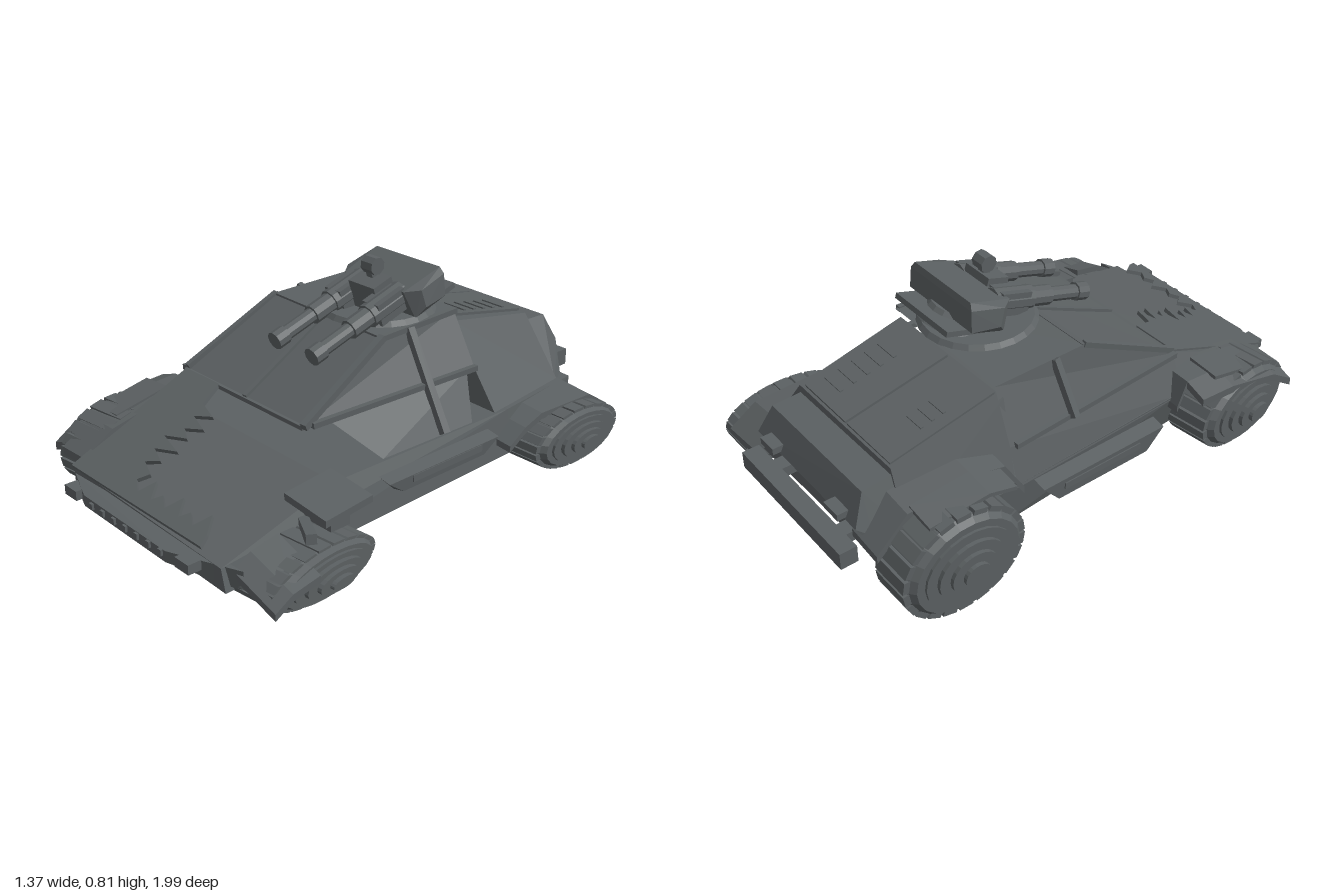
import * as THREE from 'three';
import { ConvexGeometry } from 'three/addons/geometries/ConvexGeometry.js';

const armour = new THREE.MeshStandardMaterial({ color: 0x5b6062 });
armour.name = 'armourGrey';

// Faceted normals on any geometry
function flat(g) {
  const f = g.index ? g.toNonIndexed() : g;
  f.computeVertexNormals();
  return f;
}

export function createModel() {
  const root = new THREE.Group();
  root.name = 'armouredBuggy';

  const add = (name, geo, parent = root) => {
    const m = new THREE.Mesh(flat(geo), armour);
    m.name = name;
    parent.add(m);
    return m;
  };
  // Solid block wrapped around a few corner points
  const hull = (name, pts, parent) =>
    add(name, new ConvexGeometry(pts.map(p => new THREE.Vector3(...p))), parent);
  const box = (name, w, h, d, x, y, z, parent) => {
    const m = add(name, new THREE.BoxGeometry(w, h, d), parent);
    m.position.set(x, y, z);
    return m;
  };
  // One-sided convex panel, corners counter-clockwise seen from outside
  const panel = (name, pts) => {
    const v = [];
    for (let i = 1; i < pts.length - 1; i++) v.push(...pts[0], ...pts[i], ...pts[i + 1]);
    const g = new THREE.BufferGeometry();
    g.setAttribute('position', new THREE.Float32BufferAttribute(v, 3));
    return add(name, g);
  };
  // Square bar between two points
  const bar = (name, a, b, t) => {
    const A = new THREE.Vector3(...a), B = new THREE.Vector3(...b);
    const m = box(name, t, t, A.distanceTo(B), 0, 0, 0);
    m.position.copy(A).lerp(B, 0.5);
    m.lookAt(B);
    return m;
  };

  // Lower tub
  hull('lowerTub', [
    [-0.38, 0.10, 0.92], [0.46, 0.07, 0.92], [-0.38, 0.18, 0.92], [0.44, 0.15, 0.92],
    [-0.40, 0.09, 0.42], [0.43, 0.06, 0.42], [-0.46, 0.26, 0.42], [0.40, 0.25, 0.42],
    [-0.47, 0.10, -0.42], [0.43, 0.08, -0.42], [-0.49, 0.26, -0.42], [0.41, 0.25, -0.42],
    [-0.44, 0.16, -0.86], [0.34, 0.13, -0.86], [-0.44, 0.27, -0.86], [0.34, 0.23, -0.86]]);

  // Torn hood: ragged sheet over the open front, closed on its right side
  const sheet = new THREE.Shape();
  sheet.moveTo(-0.37, 0);
  sheet.lineTo(0.36, 0);
  for (let i = 0; i < 6; i++) {
    sheet.lineTo(0.34 - i * 0.075, 0.045);
    sheet.lineTo(0.29 - i * 0.075, 0.11 - (i % 2) * 0.03);
  }
  for (let i = 0; i < 6; i++) {
    sheet.lineTo(-0.06 - (i % 2) * 0.02, 0.12 + i * 0.06);
    sheet.lineTo(-0.13 - (i % 3) * 0.02, 0.15 + i * 0.06);
  }
  sheet.lineTo(-0.2, 0.55);
  sheet.lineTo(-0.39, 0.55);
  const torn = add('tornHood', new THREE.ExtrudeGeometry(sheet, { depth: 0.015, bevelEnabled: false }));
  torn.position.set(0, 0.185, 0.93);
  torn.rotation.x = -1.185;
  panel('hoodRightSide', [[-0.39, 0.40, 0.42], [-0.46, 0.25, 0.42], [-0.38, 0.17, 0.92], [-0.37, 0.2, 0.92]]);
  const vent = box('hoodVent', 0.04, 0.08, 0.015, -0.31, 0.353, 0.53);
  vent.rotation.x = -1.185;

  // Cabin: roof, screen, closed side and the open, broken side
  panel('roof', [[-0.37, 0.6, 0.02], [0.2, 0.59, 0.02], [0.2, 0.6, -0.36], [-0.37, 0.6, -0.36]]);
  panel('windscreen', [[-0.40, 0.40, 0.42], [0.25, 0.395, 0.42], [0.2, 0.59, 0.02], [-0.37, 0.6, 0.02]]);
  panel('rightWindowBand', [[-0.37, 0.6, -0.36], [-0.45, 0.4, -0.36], [-0.40, 0.4, 0.42], [-0.37, 0.6, 0.02]]);
  panel('rightDoor', [[-0.45, 0.4, -0.36], [-0.49, 0.25, -0.36], [-0.46, 0.25, 0.42], [-0.40, 0.4, 0.42]]);
  panel('leftWindowBand', [[0.25, 0.395, 0.42], [0.31, 0.41, -0.34], [0.2, 0.6, -0.34], [0.2, 0.59, 0.02]]);
  panel('leftDoor', [[0.39, 0.25, 0.19], [0.40, 0.25, -0.24], [0.31, 0.41, -0.30], [0.26, 0.40, 0.33]]);
  bar('windscreenDivider', [-0.06, 0.40, 0.42], [-0.09, 0.595, 0.02], 0.018);
  bar('rightScreenPillar', [-0.39, 0.41, 0.42], [-0.365, 0.60, 0.02], 0.02);
  bar('leftScreenPillar', [0.26, 0.40, 0.43], [0.205, 0.59, 0.02], 0.025);
  bar('screenSill', [-0.40, 0.395, 0.42], [0.25, 0.39, 0.42], 0.015);
  bar('roofFrontRail', [-0.37, 0.594, 0.02], [0.2, 0.584, 0.02], 0.018);
  bar('leftDoorPillar', [0.41, 0.26, -0.09], [0.205, 0.59, -0.11], 0.028);
  bar('rightDoorPillar', [-0.46, 0.4, -0.09], [-0.37, 0.60, -0.11], 0.025);
  bar('leftBeltRail', [0.27, 0.40, 0.40], [0.32, 0.41, -0.34], 0.02);
  bar('rightBeltRail', [-0.41, 0.4, 0.42], [-0.455, 0.4, -0.34], 0.02);
  bar('leftRoofRail', [0.2, 0.585, 0.02], [0.2, 0.595, -0.35], 0.02);

  // Engine box, tail and rear bumper
  hull('engineBox', [
    [-0.39, 0.56, -0.34], [0.20, 0.555, -0.34], [-0.37, 0.475, -0.77], [0.18, 0.47, -0.77],
    [-0.48, 0.26, -0.36], [0.40, 0.25, -0.36], [-0.44, 0.26, -0.77], [0.35, 0.25, -0.77]]);
  hull('tail', [
    [-0.37, 0.45, -0.76], [0.18, 0.44, -0.76], [-0.37, 0.44, -0.88], [0.18, 0.435, -0.88],
    [-0.40, 0.33, -0.93], [0.21, 0.33, -0.93], [-0.42, 0.29, -0.88], [0.26, 0.29, -0.88],
    [-0.43, 0.22, -0.86], [0.30, 0.22, -0.86], [-0.44, 0.25, -0.76], [0.35, 0.25, -0.76]]);
  box('rearBumper', 0.62, 0.065, 0.065, -0.095, 0.235, -0.965);
  for (const x of [-0.3, 0.1]) {
    box('bumperMount', 0.06, 0.04, 0.1, x, 0.235, -0.9);
    box('tailLamp', 0.08, 0.025, 0.045, x, 0.35, -0.935);
  }
  // Deck covers and vents follow the deck slope
  const deck = new THREE.Group();
  deck.name = 'engineDeck';
  deck.position.set(-0.1, 0.516, -0.555);
  deck.rotation.x = -0.197;
  root.add(deck);
  for (const x of [-0.13, 0.13]) box('deckCover', 0.25, 0.01, 0.42, x, 0.004, 0, deck);
  for (let i = 0; i < 5; i++) box('ventSlat', 0.1, 0.006, 0.014, 0.18, 0.011, -0.14 + i * 0.055, deck);
  for (let i = 0; i < 3; i++) box('ventSlat', 0.08, 0.006, 0.012, -0.17, 0.011, -0.05 + i * 0.045, deck);

  // Front bumper, bolts and lamps
  hull('frontBumper', [
    [-0.36, 0.12, 0.93], [0.50, 0.08, 0.88], [-0.36, 0.17, 0.93], [0.50, 0.15, 0.88],
    [-0.22, 0.12, 0.985], [0.24, 0.11, 0.985], [-0.22, 0.16, 0.985], [0.24, 0.15, 0.985]]);
  for (let i = 0; i < 7; i++) box('bumperBolt', 0.018, 0.022, 0.012, -0.17 + i * 0.065, 0.14, 0.988);
  for (const x of [-0.29, 0.34]) box('headLamp', 0.07, 0.035, 0.05, x, 0.145, 0.97);

  // Side steps with a thin tread plate
  for (const [s, x, lo, hi] of [[1, 0.43, 0.15, 0.22], [-1, -0.49, 0.15, 0.25]]) {
    hull(s > 0 ? 'leftStep' : 'rightStep', [
      [x, lo, 0.18], [x, lo, -0.22], [x, hi, 0.25], [x, hi, -0.29],
      [x + s * 0.05, lo + 0.01, 0.18], [x + s * 0.05, lo + 0.01, -0.22],
      [x + s * 0.055, hi - 0.01, 0.25], [x + s * 0.055, hi - 0.01, -0.29]]);
    box('stepPlate', 0.01, 0.025, 0.34, x + s * 0.053, (lo + hi) / 2 + 0.01, -0.03);
  }

  // Wheels: stepped hub and lugged tyre, crushed lower on the left side, front pair steered
  const profile = [[0, 0], [0.2, 0], [0.225, 0.02], [0.225, 0.16], [0.2, 0.19], [0.17, 0.19],
    [0.17, 0.2], [0.13, 0.2], [0.13, 0.215], [0.09, 0.215], [0.09, 0.23], [0.05, 0.23],
    [0.05, 0.245], [0, 0.245]].map(p => new THREE.Vector2(...p));
  function wheel(name, side, x, z, ry, stretch, steer = 0) {
    const g = new THREE.Group();
    g.name = name;
    g.position.set(side * x, ry, z);
    g.scale.set(stretch, ry / 0.237, 1);
    g.rotation.y = steer;
    const tyre = add('tyreAndHub', new THREE.LatheGeometry(profile, 22), g);
    tyre.rotation.z = -side * Math.PI / 2;
    for (let i = 0; i < 22; i++) {
      const a = i / 22 * Math.PI * 2;
      const lug = box('tyreLug', 0.16, 0.025, 0.054, side * 0.09, Math.cos(a) * 0.225, Math.sin(a) * 0.225, g);
      lug.rotation.x = a;
    }
    root.add(g);
    box('axle', 0.2, 0.05, 0.06, side * (x - 0.04), ry, z);
  }
  wheel('frontRightWheel', -1, 0.385, 0.63, 0.155, 1.02, 0.12);
  wheel('rearRightWheel', -1, 0.455, -0.67, 0.2, 0.96);
  wheel('frontLeftWheel', 1, 0.41, 0.655, 0.088, 1.1, 0.1);
  wheel('rearLeftWheel', 1, 0.38, -0.665, 0.11, 0.98);

  // Fenders: plates through [z, y] points, from an inner x to an outer x that sits lower by drop
  const arch = (name, inner, outer, pts, t, drop = 0) => {
    for (let i = 0; i < pts.length - 1; i++) {
      const c = [];
      for (const [x, d] of [[inner, 0], [outer, drop]])
        for (const [z, y] of [pts[i], pts[i + 1]]) c.push([x, y - d, z], [x, y - d - t, z]);
      hull(name, c);
    }
  };
  arch('frontRightFender', -0.36, -0.5, [[0.89, 0.21], [0.77, 0.285], [0.55, 0.335], [0.4, 0.345], [0.36, 0.25]], 0.03, 0.005);
  arch('frontRightOuterFender', -0.5, -0.585, [[0.87, 0.215], [0.77, 0.28], [0.55, 0.33], [0.4, 0.34]], 0.03, 0.03);
  arch('frontRightFenderPlate', -0.41, -0.54, [[0.72, 0.305], [0.5, 0.35]], 0.015, 0.01);
  arch('rearRightFender', -0.36, -0.50, [[-0.92, 0.30], [-0.8, 0.41], [-0.55, 0.43], [-0.42, 0.4], [-0.34, 0.27]], 0.03, 0.015);
  arch('rearRightOuterFender', -0.48, -0.59, [[-0.78, 0.405], [-0.55, 0.42], [-0.44, 0.39]], 0.015, 0.015);
  arch('rearLeftFender', 0.30, 0.49, [[-0.91, 0.17], [-0.8, 0.24], [-0.52, 0.25], [-0.43, 0.22], [-0.35, 0.17]], 0.025, 0.02);
  arch('frontLeftFender', 0.46, 0.66, [[0.89, 0.14], [0.82, 0.18], [0.71, 0.2]], 0.025, 0.06);
  arch('frontLeftFenderStub', 0.36, 0.56, [[0.6, 0.26], [0.4, 0.28]], 0.025, 0.02);
  bar('brokenStrut', [0.38, 0.17, 0.55], [0.56, 0.2, 0.66], 0.035);
  box('strutMount', 0.14, 0.05, 0.08, 0.48, 0.21, 0.53);

  // Turret, tipped forward
  const ring = add('turretRing', new THREE.CylinderGeometry(0.2, 0.215, 0.018, 24));
  ring.position.set(-0.01, 0.608, -0.16);
  const turret = new THREE.Group();
  turret.name = 'turret';
  turret.position.set(0.02, 0.698, -0.2);
  turret.rotation.x = 0.3;
  root.add(turret);
  const head = [];
  for (const s of [-1, 1]) {
    for (const [x, y, z] of [[0.15, 0.04, 0.08], [0.19, 0.03, 0.03], [0.195, -0.04, 0.03], [0.17, -0.07, 0.07],
      [0.16, 0.045, -0.1], [0.175, 0.02, -0.1], [0.18, -0.06, -0.08]]) head.push([s * x, y, z]);
  }
  hull('turretHead', head, turret);
  box('turretMantlet', 0.13, 0.12, 0.09, 0.01, 0.01, 0.1, turret);
  const pedestal = add('turretNeck', new THREE.CylinderGeometry(0.1, 0.14, 0.06, 16), turret);
  pedestal.position.set(0, -0.075, 0);
  box('turretRearPlate', 0.3, 0.02, 0.16, 0, -0.072, -0.08, turret);
  box('sightPost', 0.03, 0.06, 0.03, 0.005, 0.075, 0.08, turret);
  // Rounded sight block
  const sight = add('sight', new THREE.CylinderGeometry(0.033, 0.033, 0.055, 8), turret);
  sight.rotation.z = Math.PI / 2;
  sight.position.set(0.005, 0.108, 0.07);
  // Twin guns: [radius, start, length]
  for (const x of [-0.095, 0.1]) {
    for (const [r, z, l] of [[0.045, 0.05, 0.17], [0.037, 0.2, 0.11], [0.027, 0.3, 0.15], [0.034, 0.44, 0.05]]) {
      const b = add('gunBarrel', new THREE.CylinderGeometry(r, r, l, 10), turret);
      b.rotation.x = Math.PI / 2;
      b.position.set(x, 0.008, z + l / 2);
    }
    box('gunHousing', 0.08, 0.085, 0.13, x, 0.005, 0.13, turret);
  }
  return root;
}
